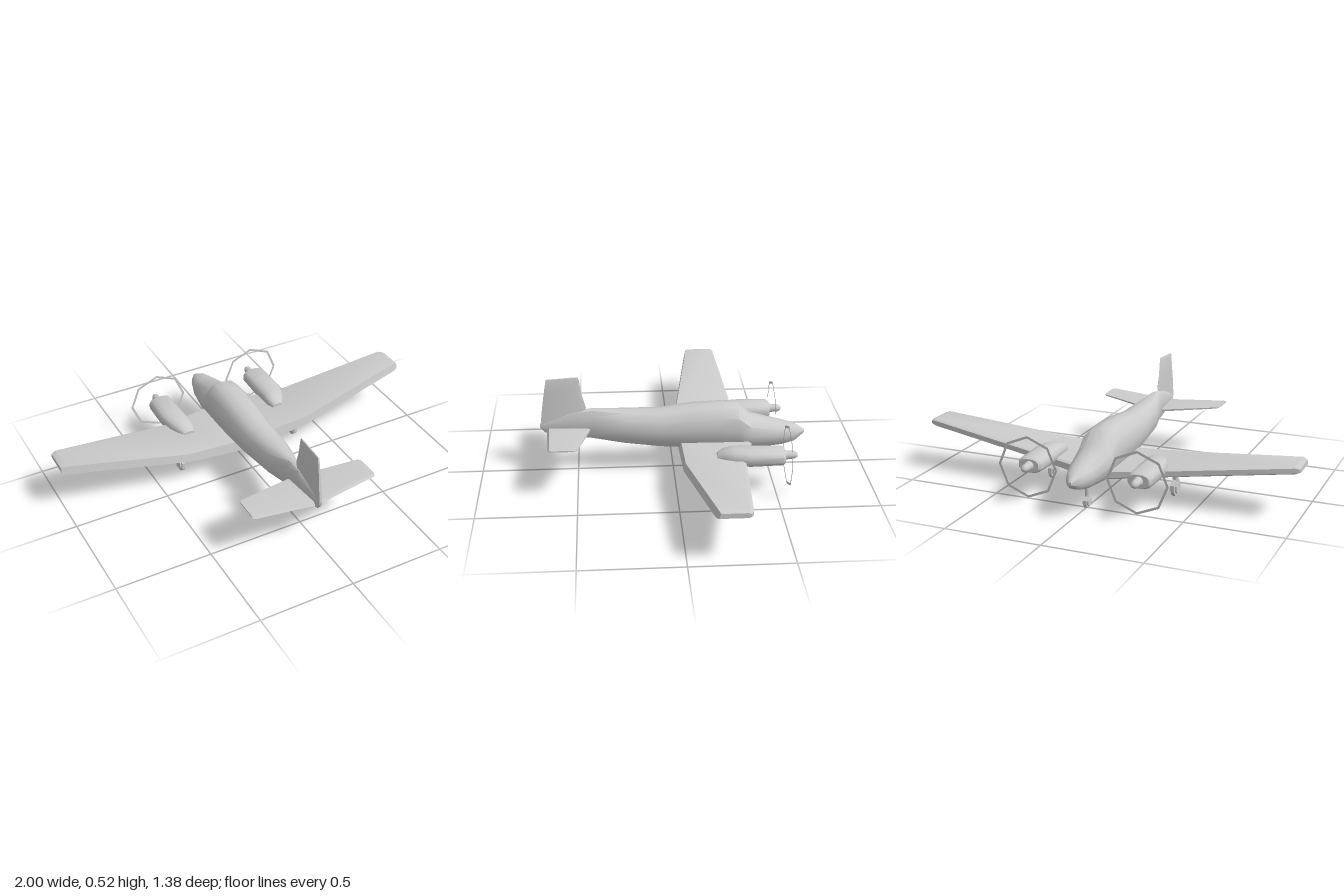
import * as THREE from 'three';
import { toCreasedNormals } from 'three/addons/utils/BufferGeometryUtils.js';

const material = new THREE.MeshStandardMaterial({ color: 0xcccccc, side: THREE.DoubleSide });

function addMesh(parent, name, geometry, x = 0, y = 0, z = 0) {
  const mesh = new THREE.Mesh(geometry, material);
  mesh.name = name;
  mesh.position.set(x, y, z);
  parent.add(mesh);
  return mesh;
}

// Skin a row of equal-length rings of [x, y, z] and close both ends.
function loft(rings, crease) {
  const n = rings[0].length;
  const points = rings.flat();
  const index = [];
  for (let r = 0; r < rings.length - 1; r++) {
    for (let i = 0; i < n; i++) {
      const a = r * n + i, b = r * n + (i + 1) % n;
      index.push(a, b, a + n, b, b + n, a + n);
    }
  }
  for (const [r, flip] of [[0, true], [rings.length - 1, false]]) {
    const centre = [0, 1, 2].map(k => rings[r].reduce((s, p) => s + p[k], 0) / n);
    points.push(centre);
    for (let i = 0; i < n; i++) {
      const a = r * n + i, b = r * n + (i + 1) % n;
      index.push(...(flip ? [b, a, points.length - 1] : [a, b, points.length - 1]));
    }
  }
  // Turn the faces outward whichever way the rings run.
  const v = points.map(p => new THREE.Vector3(...p));
  let volume = 0;
  for (let i = 0; i < index.length; i += 3) {
    volume += v[index[i]].dot(v[index[i + 1]].clone().cross(v[index[i + 2]]));
  }
  if (volume < 0) index.reverse();
  const geometry = new THREE.BufferGeometry().setFromPoints(v);
  geometry.setIndex(index);
  return toCreasedNormals(geometry, crease);
}

// Fuselage ring: half width, bottom and top at one station.
function bodyRing([z, w, bottom, top]) {
  const half = [[0.6, 0.03], [0.92, 0.22], [1, 0.5], [0.9, 0.78], [0.5, 0.96]];
  const at = ([x, t]) => [x * w, bottom + t * (top - bottom), z];
  return [at([0, 0]), ...half.map(at), at([0, 1]),
    ...half.slice().reverse().map(([x, t]) => at([-x, t]))];
}

// Wing ring: leading and trailing z, lower and upper y at one span station.
function wingRing([x, lead, trail, low, high]) {
  const m = (low + high) / 2, e = (high - low) * 0.3;
  return [[x, m - e, lead], [x, m + e, lead], [x, high, lead + 0.015],
    [x, high, trail - 0.01], [x, low, trail], [x, low, lead + 0.015]];
}

// Nacelle ring: inner and outer x, centre y and half height.
function nacelleRing([z, inner, outer, y, h]) {
  const ring = [];
  for (let i = 0; i < 12; i++) {
    const a = (i + 0.5) * Math.PI / 6;
    const c = Math.cos(a), s = Math.sin(a);
    ring.push([(inner + outer) / 2 + (outer - inner) / 2 * Math.sign(c) * Math.abs(c) ** 0.75,
      y + h * Math.sign(s) * Math.abs(s) ** 0.75, z]);
  }
  return ring;
}

function wheelWithStrut(parent, name, x, z, radius, width, top, strut) {
  const gear = new THREE.Group();
  gear.name = name;
  gear.position.set(x, 0, z);
  const tyre = new THREE.CylinderGeometry(radius, radius, width * 0.55, 8);
  tyre.rotateY(Math.PI / 8).rotateZ(Math.PI / 2);
  addMesh(gear, 'wheel', toCreasedNormals(tyre, 0.6), 0, radius * 0.93, 0);
  const hub = new THREE.CylinderGeometry(radius * 0.7, radius * 0.7, width, 8);
  hub.rotateY(Math.PI / 8).rotateZ(Math.PI / 2);
  addMesh(gear, 'hub', toCreasedNormals(hub, 0.6), 0, radius * 0.93, 0);
  const leg = new THREE.CylinderGeometry(strut, strut * 0.7, top - radius, 8);
  addMesh(gear, 'strut', leg, 0, (top + radius) / 2, 0);
  parent.add(gear);
}

export function createModel() {
  const plane = new THREE.Group();
  plane.name = 'aeroplane';

  // Body, nose at -z
  addMesh(plane, 'fuselage', loft([
    [-0.69, 0.008, 0.178, 0.195],
    [-0.635, 0.046, 0.14, 0.228],
    [-0.57, 0.068, 0.127, 0.245],
    [-0.40, 0.098, 0.115, 0.29],
    [-0.335, 0.1, 0.117, 0.354],
    [-0.24, 0.1, 0.12, 0.361],
    [-0.10, 0.098, 0.127, 0.355],
    [0.07, 0.089, 0.138, 0.333],
    [0.26, 0.074, 0.16, 0.335],
    [0.42, 0.036, 0.182, 0.346],
    [0.5, 0.027, 0.192, 0.335],
    [0.665, 0.01, 0.217, 0.28],
    [0.69, 0.005, 0.245, 0.268],
  ].map(bodyRing), 0.7));

  // Upright tail fin
  const fin = [[0.25, 0.46, 0.688, 0.012], [0.35, 0.45, 0.676, 0.011],
    [0.43, 0.471, 0.664, 0.008], [0.505, 0.482, 0.651, 0.007], [0.519, 0.486, 0.56, 0.004]];
  addMesh(plane, 'fin', loft(fin.map(([y, a, b, t], i) => {
    const back = i === 4 ? 0.648 : b, yBack = i === 4 ? 0.511 : y;
    return [[0, y, a], [t, y, a + 0.025], [t * 0.6, yBack, back],
      [-t * 0.6, yBack, back], [-t, y, a + 0.025]];
  }), 0.5));

  for (const s of [1, -1]) {
    const side = s > 0 ? 'left' : 'right';
    const mirror = rings => rings.map(ring => ring.map(([x, y, z]) => [s * x, y, z]));

    // Main wing
    addMesh(plane, side + 'Wing', loft(mirror([
      [0, -0.42, -0.025, 0.118, 0.172],
      [0.1, -0.40, -0.027, 0.122, 0.175],
      [0.35, -0.343, -0.03, 0.147, 0.19],
      [0.975, -0.297, -0.128, 0.235, 0.276],
      [1, -0.285, -0.138, 0.243, 0.268],
    ].map(wingRing)), 0.6));

    // Tailplane
    addMesh(plane, side + 'Tailplane', loft(mirror([
      [0, 0.425, 0.655, 0.225, 0.243],
      [0.33, 0.495, 0.642, 0.264, 0.274],
      [0.342, 0.51, 0.635, 0.267, 0.274],
    ].map(wingRing)), 0.6));

    // Engine nacelle, narrowing toward the body at the rear
    addMesh(plane, side + 'Nacelle', loft(mirror([
      [-0.543, 0.238, 0.342, 0.19, 0.033],
      [-0.53, 0.227, 0.353, 0.19, 0.041],
      [-0.37, 0.222, 0.357, 0.19, 0.044],
      [-0.29, 0.223, 0.344, 0.19, 0.044],
      [-0.24, 0.225, 0.322, 0.188, 0.036],
      [-0.205, 0.238, 0.298, 0.18, 0.02],
    ].map(nacelleRing)), 0.8));

    // Spinner and propeller sweep ring
    const spinner = new THREE.LatheGeometry([[0.028, 0.53], [0.021, 0.565], [0.02, 0.592],
      [0.012, 0.607], [0, 0.61]].map(p => new THREE.Vector2(...p)), 10);
    spinner.rotateX(-Math.PI / 2);
    addMesh(plane, side + 'Spinner', spinner, s * 0.288, 0.19, 0);
    addMesh(plane, side + 'PropellerRing',
      new THREE.RingGeometry(0.147, 0.16, 8), s * 0.288, 0.188, -0.56);

    wheelWithStrut(plane, side + 'MainGear', s * 0.34, -0.175, 0.046, 0.034, 0.17, 0.02);
  }

  wheelWithStrut(plane, 'noseGear', 0, -0.495, 0.031, 0.032, 0.14, 0.014);
  return plane;
}
